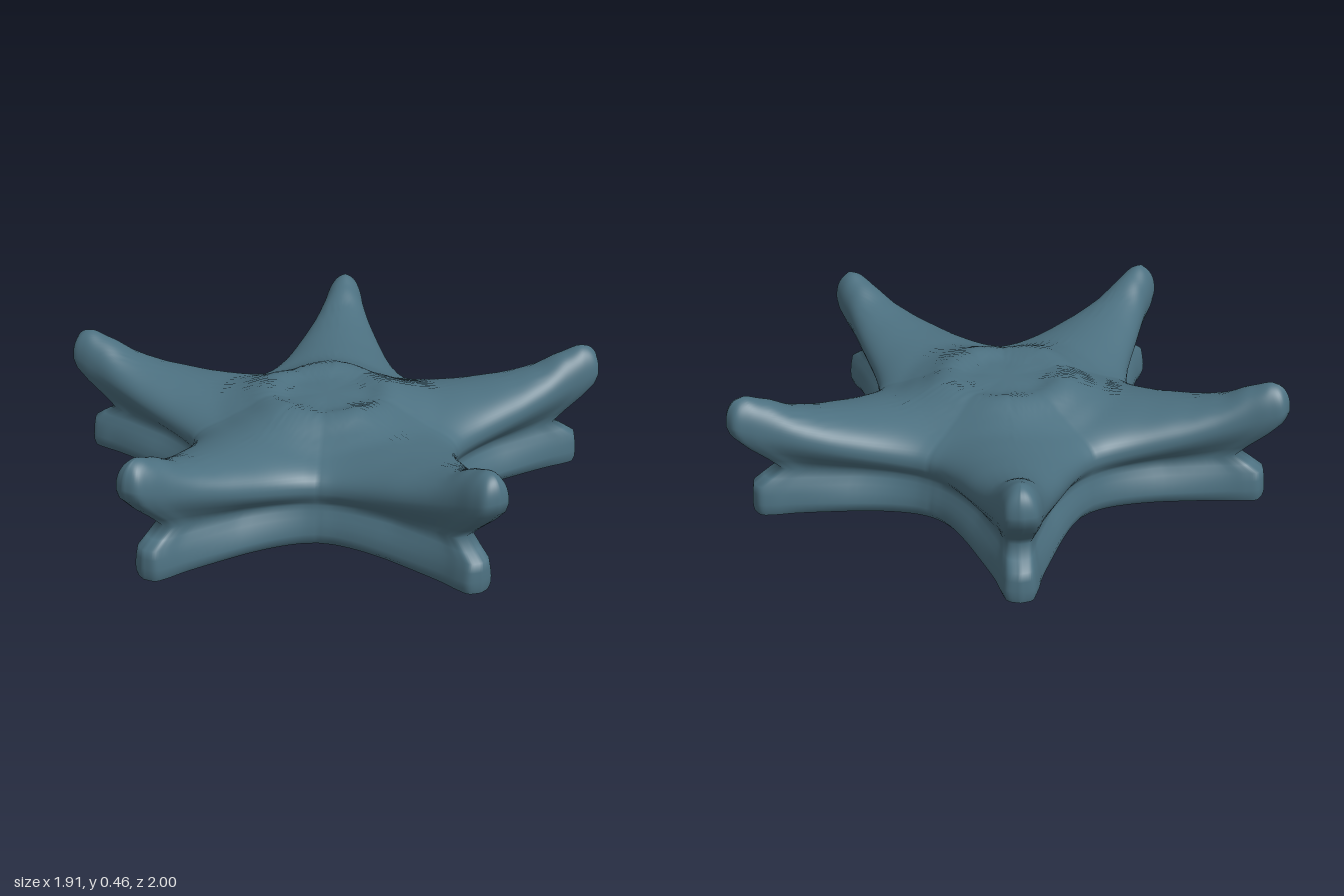
import * as THREE from 'three';
import { mergeVertices } from 'three/addons/utils/BufferGeometryUtils.js';

const CENTRE_X = 0.092, TIP = 1.047, NOTCH = 0.407, HALF = 18;
const lerp = THREE.MathUtils.lerp;

// Half outline of one arm (u along the arm, w across), from notch to tip
const halfArm = new THREE.CatmullRomCurve3([
  [NOTCH, 0.296], [0.45, 0.258], [0.535, 0.212], [0.7, 0.152], [0.9, 0.086],
  [0.985, 0.067], [1.03, 0.048], [TIP, 0],
].map(([u, w]) => new THREE.Vector3(u, w, 0))).getPoints(HALF * 2)
  .map((p) => ({ u: p.x, w: Math.max(p.y, 0), f: (p.x - NOTCH) / (TIP - NOTCH) }));

// Whole star outline: every point knows its arm angle and its place along the arm
const outline = [];
for (let arm = 0; arm < 5; arm++) {
  const angle = Math.PI / 5 + arm * Math.PI * 2 / 5;
  halfArm.forEach((p) => outline.push({ ...p, w: -p.w, angle }));
  halfArm.slice(1, -1).reverse().forEach((p) => outline.push({ ...p, angle }));
}

// Height of the top along an arm: dimple, raised rim, saddle, upturned tip
const crest = [[0, 0.364], [0.14, 0.366], [0.21, 0.39], [0.25, 0.385], [0.31, 0.358], [0.4, 0.335],
  [0.55, 0.342], [0.7, 0.36], [0.8, 0.385], [0.9, 0.433], [0.97, 0.458], [1.1, 0.455]];
function crestHeight(r) {
  const i = Math.max(1, crest.findIndex(([x]) => x >= r));
  const [a, b] = [crest[i - 1], crest[i]];
  return lerp(a[1], b[1], THREE.MathUtils.smoothstep(r, a[0], b[0]) * 0.4 + 0.6 * (r - a[0]) / (b[0] - a[0]));
}

// One ring: tip radius, notch scale, arm width, heights at notch and tip,
// and how far it has closed in on the arm's spine
function ring({ tip, notch, width, yNotch, yTip, close = 0, rise = 0, top = false }) {
  return outline.map(({ u, w, f, angle }) => {
    const spine = f * 0.985 * (top ? 1 : tip / TIP);
    const pu = lerp(u * lerp(notch, tip / TIP, f), spine, close);
    const pw = w * lerp(notch, width, Math.min(1, f * 2.5)) * (1 - close);
    const x = pu * Math.cos(angle) - pw * Math.sin(angle);
    const z = pu * Math.sin(angle) + pw * Math.cos(angle);
    const edge = lerp(yNotch, yTip, f ** 1.4);
    const y = top ? lerp(edge, crestHeight(Math.hypot(x, z)), rise) : edge + rise;
    return [x + CENTRE_X, y, z];
  });
}

// Skin a stack of rings
function skin(rings) {
  const n = outline.length, index = [];
  for (let j = 0; j < rings.length - 1; j++) {
    for (let i = 0; i < n; i++) {
      const k = (i + 1) % n, a = j * n + i, b = j * n + k;
      index.push(a, a + n, b, b, a + n, b + n);
    }
  }
  const g = new THREE.BufferGeometry();
  g.setAttribute('position', new THREE.Float32BufferAttribute(rings.flat(2), 3));
  g.setIndex(index);
  const merged = mergeVertices(g, 1e-4);
  merged.computeVertexNormals();
  return merged;
}

export function createModel() {
  const group = new THREE.Group();
  const slate = new THREE.MeshStandardMaterial({ color: 0x4c7080 });
  slate.name = 'slate blue';
  const add = (name, rings) => {
    const mesh = new THREE.Mesh(skin(rings), slate);
    mesh.name = name;
    group.add(mesh);
  };
  const level = (tip, notch, width, yNotch, yTip = yNotch) => ({ tip, notch, width, yNotch, yTip });
  const base = level(0.967, 0.955, 0.84, 0);
  const brim = level(TIP, 1, 1, 0.205, 0.355);

  // Slightly hollow underside
  add('underside', [1, 0.75, 0.5, 0.25, 0].map((c) => ring({ ...base, close: c, rise: 0.025 * c })));

  // Lower star, flared at the foot and sloping in to the waist, then
  // the upper star with upturned arms and a domed top
  const rings = [
    base,
    level(0.972, 0.985, 0.93, 0.02),
    level(0.972, 0.995, 0.95, 0.045),
    level(0.97, 0.988, 0.88, 0.08),
    level(0.965, 0.978, 0.81, 0.105, 0.112),
    level(0.925, 0.968, 0.75, 0.13, 0.138),
    level(0.872, 0.962, 0.74, 0.15, 0.17),
    level(0.925, 0.969, 0.83, 0.163, 0.22),
    level(0.99, 0.982, 0.92, 0.177, 0.275),
    level(1.035, 0.994, 0.98, 0.191, 0.322),
  ].map(ring);
  const STEPS = 20;
  for (let s = 0; s <= STEPS; s++) {
    const a = (s / STEPS) * Math.PI / 2;
    rings.push(ring({ ...brim, top: true, close: 1 - Math.cos(a), rise: Math.sin(a) ** 0.8 }));
  }
  add('starBody', rings);
  return group;
}
